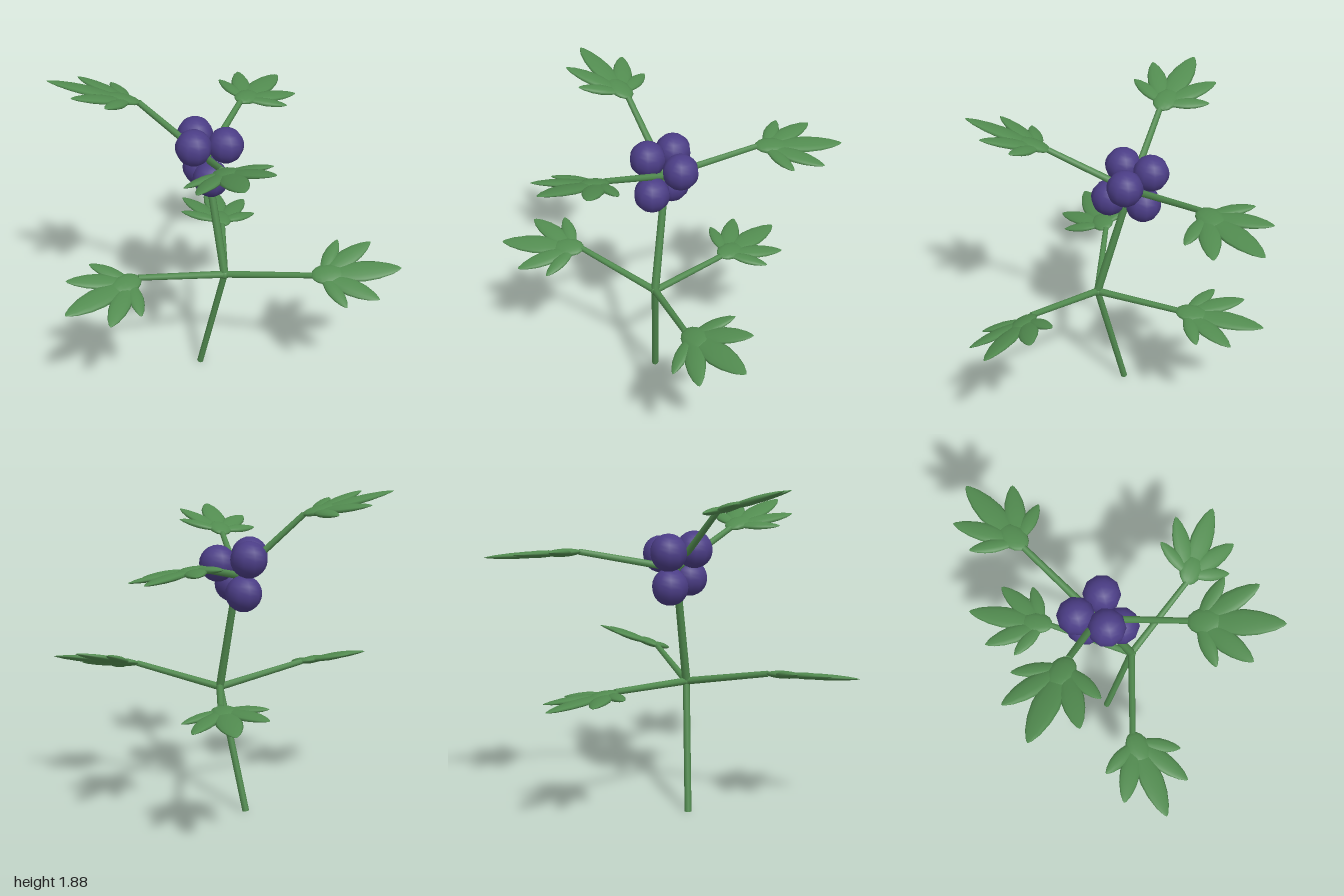
import * as THREE from 'three';

const V = (a) => new THREE.Vector3(...a);

export function createModel() {
  const green = new THREE.MeshStandardMaterial({ color: 0x528c50 });
  green.name = 'leaf green';
  const purple = new THREE.MeshStandardMaterial({ color: 0x4b3d86 });
  purple.name = 'berry purple';

  const plant = new THREE.Group();
  plant.name = 'berryPlant';

  const add = (parent, geometry, material, name) => {
    const mesh = new THREE.Mesh(geometry, material);
    mesh.name = name;
    parent.add(mesh);
    return mesh;
  };

  // Tapered round rod between two points
  const rod = (from, to, r0, r1, name) => {
    const a = V(from), b = V(to);
    const dir = b.clone().sub(a);
    const mesh = add(plant, new THREE.CylinderGeometry(r1, r0, dir.length(), 8), green, name);
    mesh.position.copy(a).add(b).multiplyScalar(0.5);
    mesh.quaternion.setFromUnitVectors(new THREE.Vector3(0, 1, 0), dir.normalize());
  };

  // Unit leaflet: a pointed spindle along +y, widest past the middle
  const profile = [[0, 0], [0.2, 0.06], [0.34, 0.2], [0.46, 0.38], [0.5, 0.52],
    [0.43, 0.7], [0.27, 0.87], [0.1, 0.97], [0, 1]];
  const leafletGeometry = new THREE.LatheGeometry(profile.map((p) => new THREE.Vector2(...p)), 12);

  // Leaflets of one leaf: tip along, tip across, width
  const leaflets = [[0.5, 0, 0.14], [0.35, 0.2, 0.115], [0.35, -0.2, 0.115],
    [0.165, 0.235, 0.085], [0.165, -0.235, 0.085]];
  const base = 0.05;

  // Palmate leaf: starts at hub, points at tip, spreads along side
  const leaf = (hub, tip, side) => {
    const group = new THREE.Group();
    group.name = 'leaf';
    const forward = V(tip).sub(V(hub)).normalize();
    const normal = V(side).cross(forward).normalize();
    const across = forward.clone().cross(normal);
    group.quaternion.setFromRotationMatrix(new THREE.Matrix4().makeBasis(across, forward, normal));
    group.position.set(...hub);
    for (const [along, sideways, width] of leaflets) {
      const mesh = add(group, leafletGeometry, green, 'leaflet');
      const rise = along - base;
      mesh.position.y = base;
      mesh.rotation.z = -Math.atan2(sideways, rise);
      mesh.scale.set(width, Math.hypot(rise, sideways), 0.036);
    }
    const heart = add(group, new THREE.SphereGeometry(1, 12, 8), green, 'leafHeart');
    heart.position.y = 0.085;
    heart.scale.set(0.07, 0.095, 0.022);
    plant.add(group);
  };

  // Main stem in two bent lengths
  const foot = [-0.2, 0.005, 0.07], lowNode = [-0.01, 0.73, 0.07], topNode = [-0.18, 1.41, 0];
  rod(foot, lowNode, 0.02, 0.02, 'lowerStem');
  rod(lowNode, topNode, 0.024, 0.02, 'upperStem');
  for (const node of [lowNode, topNode]) {
    add(plant, new THREE.SphereGeometry(0.028, 10, 8), green, 'stemJoint').position.set(...node);
  }

  // Stalks and leaves: node, hub, tip, side direction
  const branches = [
    [lowNode, [0.49, 0.83, -0.08], [0.885, 0.87, -0.365], [-0.24, 0.147, -0.315]],
    [lowNode, [-0.3, 0.84, 0.5], [-0.41, 0.83, 1.0], [0.37, -0.1, 0.09]],
    [lowNode, [-0.31, 0.75, -0.34], [-0.67, 0.735, -0.705], [0.26, -0.05, -0.27]],
    [topNode, [0.16, 1.59, 0.33], [0.52, 1.73, 0.66], [0.26, 0.05, -0.29]],
    [topNode, [-0.48, 1.75, 0.2], [-0.885, 1.88, 0.48], [0.23, 0.05, 0.315]],
    [topNode, [-0.3, 1.52, -0.52], [-0.355, 1.5, -1.0], [0.39, -0.06, -0.06]],
  ];
  for (const [node, hub, tip, side] of branches) {
    rod(node, hub, 0.021, 0.017, 'leafStalk');
    leaf(hub, tip, side);
  }

  // Berry cluster around the upper joint
  const berryGeometry = new THREE.SphereGeometry(0.102, 10, 12);
  const berries = [[-0.09, 1.345, 0.08], [-0.19, 1.515, 0.1], [-0.285, 1.51, -0.045],
    [-0.1, 1.48, -0.08], [-0.245, 1.318, -0.035]];
  for (const p of berries) add(plant, berryGeometry, purple, 'berry').position.set(...p);

  return plant;
}
